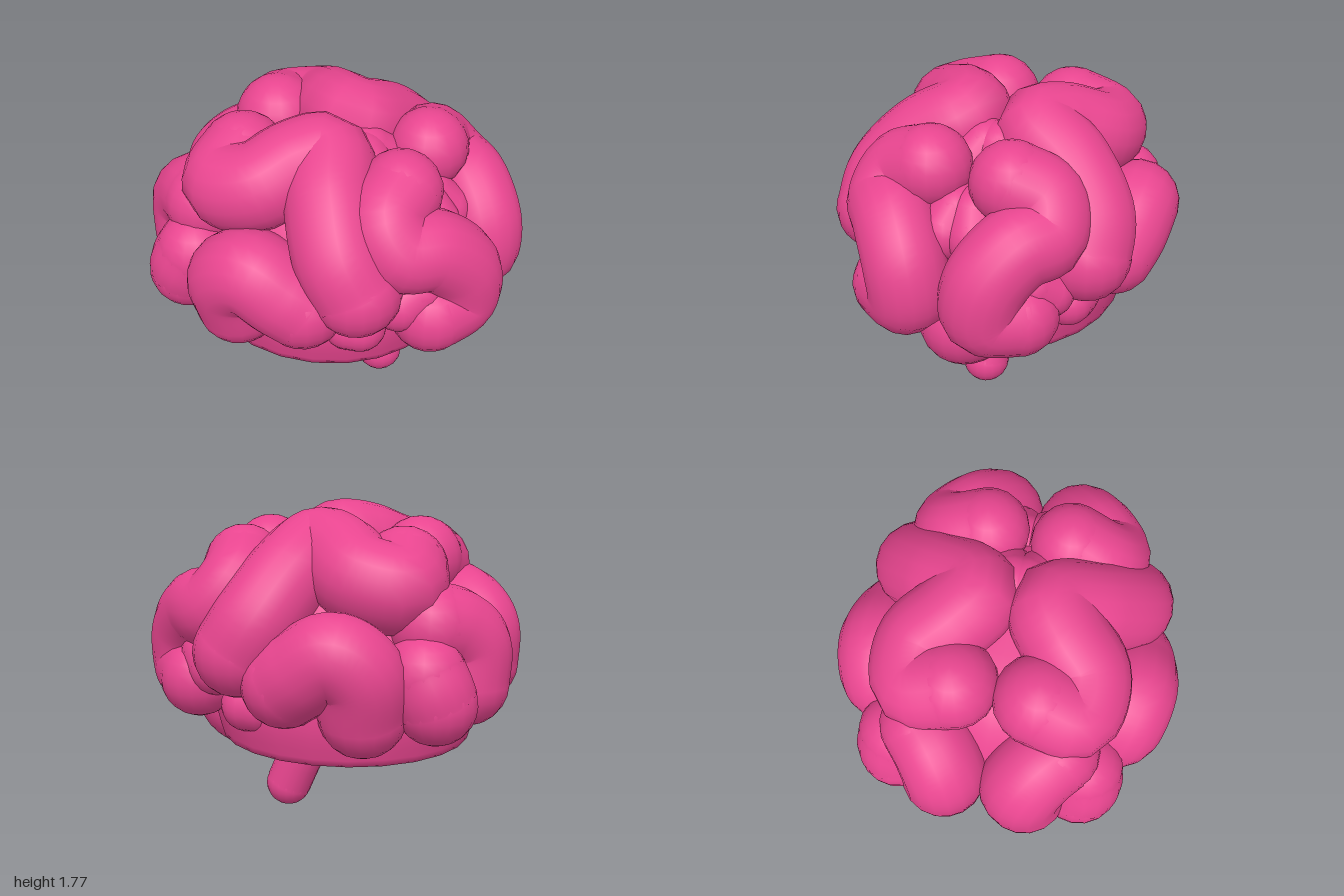
import * as THREE from 'three';
import { mergeGeometries } from 'three/addons/utils/BufferGeometryUtils.js';

const material = new THREE.MeshStandardMaterial({ color: 0xe8458f });

function add(group, name, geometry) {
  const mesh = new THREE.Mesh(geometry, material);
  mesh.name = name;
  group.add(mesh);
}

// Round-ended tube following a smooth path
function sausage(points, radius) {
  const path = points.map(p => new THREE.Vector3(...p));
  const curve = new THREE.CatmullRomCurve3(path);
  const parts = [new THREE.TubeGeometry(curve, points.length * 6, radius, 18)];
  for (const end of [path[0], path[path.length - 1]]) {
    parts.push(new THREE.SphereGeometry(radius, 18, 12).translate(end.x, end.y, end.z));
  }
  return mergeGeometries(parts);
}

// Folds of one hemisphere: name, radius, centre line
const folds = [
  ['frontPoleFold', 0.225, [[-0.77, 0.88, 0.22], [-0.77, 1.08, 0.21], [-0.69, 1.17, 0.27], [-0.6, 1.2, 0.35]]],
  ['frontSideFold', 0.215, [[-0.66, 0.84, 0.5], [-0.64, 0.9, 0.51], [-0.6, 0.98, 0.5]]],
  ['temporalFold', 0.23, [[-0.31, 0.79, 0.6], [-0.31, 1.0, 0.66], [-0.18, 1.09, 0.69], [-0.02, 1.0, 0.68], [0.08, 0.93, 0.65]]],
  ['crownFold', 0.235, [[-0.43, 1.45, 0.22], [-0.44, 1.39, 0.4], [-0.25, 1.43, 0.42], [-0.1, 1.51, 0.28], [0.03, 1.53, 0.2],
    [0.13, 1.42, 0.4], [0.25, 1.22, 0.57], [0.35, 1.06, 0.59]]],
  ['rearFold', 0.215, [[0.44, 1.45, 0.22], [0.42, 1.37, 0.39], [0.52, 1.25, 0.43], [0.65, 1.22, 0.33], [0.77, 1.06, 0.22],
    [0.77, 0.88, 0.21], [0.67, 0.84, 0.35]]],
  ['rearSideFold', 0.15, [[0.6, 0.99, 0.38], [0.53, 0.93, 0.45]]],
  ['lowerSideFold', 0.14, [[0.34, 0.75, 0.5], [0.28, 0.75, 0.51]]],
  ['middleFold', 0.15, [[0.16, 1.46, 0.04], [0.26, 1.37, 0.1]]],
  ['rearMiddleFold', 0.15, [[0.5, 1.26, 0.05], [0.58, 1.18, 0.08]]],
];

export function createModel() {
  const brain = new THREE.Group();
  brain.name = 'brain';

  // Inner body with a flat underside
  const wall = new THREE.SplineCurve([
    [0.94, 0.5], [1, 0.7], [0.97, 0.95], [0.85, 1.2], [0.55, 1.42], [0.001, 1.5],
  ].map(p => new THREE.Vector2(...p))).getPoints(20);
  const profile = [new THREE.Vector2(0, 0.5), ...wall];
  add(brain, 'innerBody', new THREE.LatheGeometry(profile, 24).scale(0.74, 1, 0.68).translate(-0.06, 0, 0));

  // Two mirrored hemispheres
  for (const [side, name] of [[1, 'leftHemisphere'], [-1, 'rightHemisphere']]) {
    const hemisphere = new THREE.Group();
    hemisphere.name = name;
    for (const [foldName, radius, path] of folds) {
      add(hemisphere, foldName, sausage(path.map(([x, y, z]) => [x, y, z * side]), radius));
    }
    brain.add(hemisphere);
  }

  // Cerebellum and brain stem
  add(brain, 'cerebellum', new THREE.SphereGeometry(1, 24, 16).scale(0.38, 0.31, 0.28).translate(0.44, 0.65, 0));
  add(brain, 'brainStem', sausage(
    [[-0.11, 0.62, 0], [0.03, 0.51, 0], [0.16, 0.4, 0], [0.22, 0.27, 0], [0.28, 0.13, 0]], 0.13));
  return brain;
}
